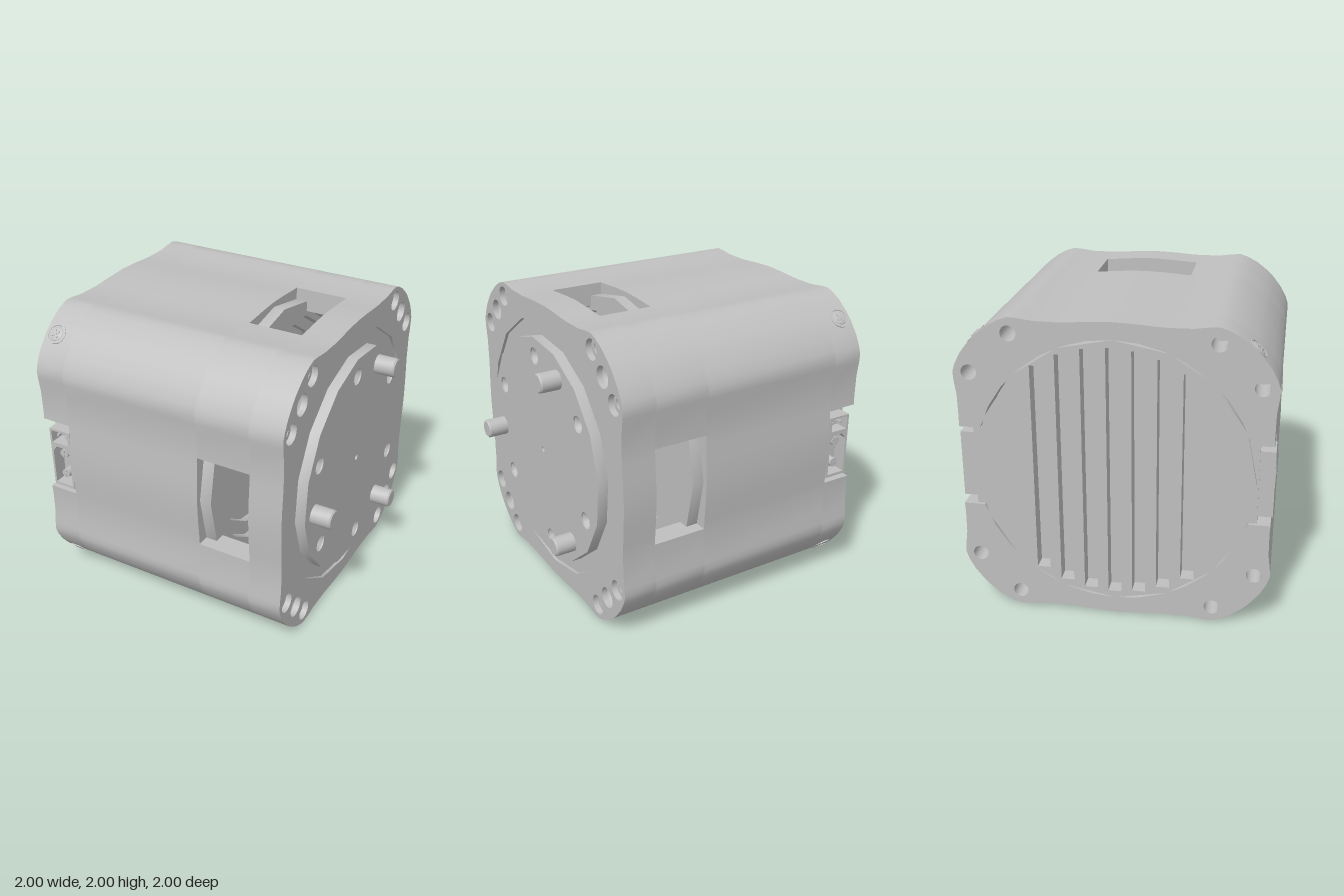
import * as THREE from 'three';
import { toCreasedNormals } from 'three/addons/utils/BufferGeometryUtils.js';

const grey = new THREE.MeshStandardMaterial({ color: 0xbfbfbf, side: THREE.DoubleSide });
grey.name = 'housing grey';
const BORE = 0.89;

export function createModel() {
  const model = new THREE.Group();
  const add = (name, geo, parent = model) => {
    const m = new THREE.Mesh(geo, grey);
    m.name = name;
    parent.add(m);
    return m;
  };
  const V = (x, y) => new THREE.Vector2(x, y);
  const arc = (r, a0, a1, n) => Array.from({ length: n + 1 }, (_, i) => {
    const a = a0 + (a1 - a0) * i / n;
    return V(r * Math.cos(a), r * Math.sin(a));
  });
  const circle = (x, y, r, n = 24) => new THREE.Path(arc(r, 0, 2 * Math.PI, n).slice(0, -1).map(p => V(p.x + x, p.y + y)));
  const rect = (x0, y0, x1, y1) => [V(x0, y0), V(x1, y0), V(x1, y1), V(x0, y1)];

  // Section in the (-z, y) plane, extruded along x
  const slab = (pts, holes, x0, x1, turn = 0) => {
    const s = new THREE.Shape(pts);
    s.holes.push(...holes);
    const g = new THREE.ExtrudeGeometry(s, { depth: x1 - x0, bevelEnabled: false });
    g.rotateY(Math.PI / 2).rotateX(turn).translate(x0, 1, 0);
    return toCreasedNormals(g, 0.45);
  };
  // Turned part about the x axis; points are [radius, x]
  const turned = (pts, seg = 24, a = 0, b = 0) => {
    const g = new THREE.LatheGeometry(pts.map(p => V(p[0], p[1])), seg);
    g.rotateZ(-Math.PI / 2).translate(0, 1 + b, -a);
    return toCreasedNormals(g, 0.45);
  };

  // Wavy square outline with convex chamfered corners
  const eighth = [[0, 1], [0.15, 0.994], [0.27, 0.985], [0.33, 0.982], [0.48, 0.984], [0.58, 0.997],
    [0.635, 1], [0.69, 0.982], [0.76, 0.945], [0.834, 0.888], [0.862, 0.862]];
  const quarter = [...eighth.map(([a, b]) => V(b, a)), ...eighth.slice(1, -1).reverse().map(([a, b]) => V(a, b))];
  const outline = [];
  for (let k = 0; k < 4; k++) {
    for (const p of quarter) outline.push([V(p.x, p.y), V(-p.y, p.x), V(-p.x, -p.y), V(p.y, -p.x)][k]);
  }
  const bore = () => circle(0, 0, BORE, 16);
  const boltSpots = [];
  for (const [a, b] of [[0.636, 0.898], [0.898, 0.636]]) {
    for (const i of [-1, 1]) for (const j of [-1, 1]) boltSpots.push([a * i, b * j]);
  }
  const cornerSpots = [[1, 1], [1, -1], [-1, 1], [-1, -1]].map(([i, j]) => [0.767 * i, 0.767 * j]);

  // Rear shell halves, leaving a connector notch at the front and back
  const notch = Math.asin(0.27 / BORE);
  const half = [...outline.filter(p => p.y > 0.269), ...arc(BORE, Math.PI - notch, notch, 14)];
  for (const k of [0, 1]) {
    add('rearShell', slab(half, boltSpots.filter(p => p[1] > 0).map(p => circle(...p, 0.05)), -1, -0.79, k * Math.PI));
  }
  // Middle shell, then four corner posts between the windows
  add('middleShell', slab(outline, [bore()], -0.79, 0.21));
  const win = Math.asin(0.33 / BORE);
  const post = [...outline.filter(p => p.x > 0.329 && p.y > 0.329), ...arc(BORE, Math.PI / 2 - win, win, 6)];
  for (let k = 0; k < 4; k++) add('windowPost', slab(post, [], 0.21, 0.58, k * Math.PI / 2));

  // Output flange with counterbored and drilled holes
  add('outputFlange', slab(outline, [bore(), ...boltSpots.map(p => circle(...p, 0.068)),
    ...cornerSpots.map(p => circle(...p, 0.071))], 0.58, 0.81));
  for (const [a, b] of boltSpots) {
    add('counterbore', turned([[0.068, 0.77], [0.04, 0.77], [0.04, 0.66], [0, 0.64]], 24, a, b));
  }
  for (const [a, b] of cornerSpots) add('drilledHole', turned([[0.071, 0.77], [0, 0.71]], 24, a, b));

  // Rotating output plate
  const polar = deg => [0.65 * Math.cos(deg * Math.PI / 180), 0.65 * Math.sin(deg * Math.PI / 180)];
  const drills = [36, 96, 156, 216, 276, 336].map(polar);
  const pins = [66, 186, 306].map(polar);
  add('plateBase', turned([[0, 0.6], [0.888, 0.6], [0.888, 0.79], [0, 0.79]], 16));
  const turn = 6 * Math.PI / 180;
  add('outputPlate', slab(arc(0.78, turn, turn + 2 * Math.PI, 16).slice(0, -1),
    [...drills.map(p => circle(...p, 0.057)), circle(0, 0, 0.02, 12)], 0.79, 0.86));
  for (const [a, b] of drills) add('plateHole', turned([[0.057, 0.85], [0, 0.795]], 24, a, b));
  for (const [a, b] of pins) {
    add('drivePin', turned([[0.065, 0.85], [0.065, 0.99], [0.056, 1], [0, 1]], 24, a, b));
    add('pinBack', turned([[0.06, 0.6], [0.06, 0.585], [0, 0.585]], 24, a, b));
  }

  // Inner drum with a stepped face seen through the windows
  add('innerDrum', turned([[0, -0.79], [0.88, -0.79], [0.88, 0.19], [0.965, 0.19], [0.965, 0.29], [0.86, 0.29],
    [0.86, 0.22], [0.78, 0.22], [0.78, 0.15], [0.68, 0.15], [0.68, 0.1], [0, 0.1]], 16));

  // Slotted rear cap
  const slots = [];
  for (let i = -3; i <= 3; i++) {
    const z = i * 0.157, h = Math.sqrt(0.87 ** 2 - z * z) - 0.03;
    slots.push(new THREE.Path(rect(z - 0.043, -h, z + 0.043, h)));
  }
  add('rearGrille', slab(arc(BORE, 0, 2 * Math.PI, 16).slice(0, -1), slots, -1, -0.9));
  add('grilleBacking', turned([[0, -0.9], [BORE, -0.9], [BORE, -0.875], [0, -0.875]], 16));

  // Corner screws with cross recess marks
  for (let k = 0; k < 4; k++) {
    const a = Math.PI / 4 + k * Math.PI / 2, screw = new THREE.Group();
    screw.name = 'cornerScrew';
    screw.position.set(-0.92, 1 + 1.213 * Math.cos(a), 1.213 * Math.sin(a));
    screw.rotation.x = a;
    const lathe = pts => toCreasedNormals(new THREE.LatheGeometry(pts.map(p => V(...p)), 24), 0.45);
    add('screwSeat', lathe([[0.07, -0.02], [0.07, 0.008], [0.058, 0.008], [0.055, -0.004]]), screw);
    add('screwHead', lathe([[0.055, -0.004], [0.045, 0.008], [0.02, 0.013], [0, 0.014]]), screw);
    for (const t of [0.6, 0.6 + Math.PI / 2]) {
      add('screwCross', new THREE.BoxGeometry(0.06, 0.008, 0.012).translate(0, 0.012, 0).rotateY(t), screw);
    }
    model.add(screw);
  }

  // Side connectors: small two-pin socket above a large chamfered one
  for (const side of [1, -1]) {
    const c = new THREE.Group();
    c.name = side > 0 ? 'frontConnector' : 'backConnector';
    c.scale.z = side;
    const housing = (name, pts, hole, z0, z1) => {
      const s = new THREE.Shape(pts);
      s.holes.push(new THREE.Path(hole));
      add(name, new THREE.ExtrudeGeometry(s, { depth: z1 - z0, bevelEnabled: false }).translate(0, 0, z0), c);
    };
    const box = (name, x0, y0, z0, x1, y1, z1) => add(name, new THREE.BoxGeometry(x1 - x0, y1 - y0, z1 - z0)
      .translate((x0 + x1) / 2, (y0 + y1) / 2, (z0 + z1) / 2), c);
    box('bracket', -0.98, 0.73, 0.8, -0.87, 1.27, 0.9);
    box('socketBase', -0.96, 0.77, 0.8, -0.79, 1.23, 0.9);
    housing('smallSocket', rect(-0.955, 1.095, -0.79, 1.215), rect(-0.94, 1.11, -0.81, 1.2), 0.88, 0.995);
    housing('largeSocket', rect(-0.955, 0.77, -0.79, 1.095),
      [V(-0.94, 0.79), V(-0.805, 0.79), V(-0.805, 1.04), V(-0.84, 1.08), V(-0.905, 1.08), V(-0.94, 1.04)], 0.88, 0.995);
    for (const x of [-0.91, -0.84]) box('smallPin', x - 0.008, 1.147, 0.88, x + 0.008, 1.163, 0.97);
    for (const y of [0.86, 1.02]) {
      add('largePin', new THREE.CylinderGeometry(0.032, 0.032, 0.09, 20).rotateX(Math.PI / 2).translate(-0.873, y, 0.925), c);
      box('pinCross', -0.903, y - 0.004, 0.965, -0.843, y + 0.004, 0.973);
      box('pinCross', -0.877, y - 0.03, 0.965, -0.869, y + 0.03, 0.973);
    }
    model.add(c);
  }
  return model;
}
